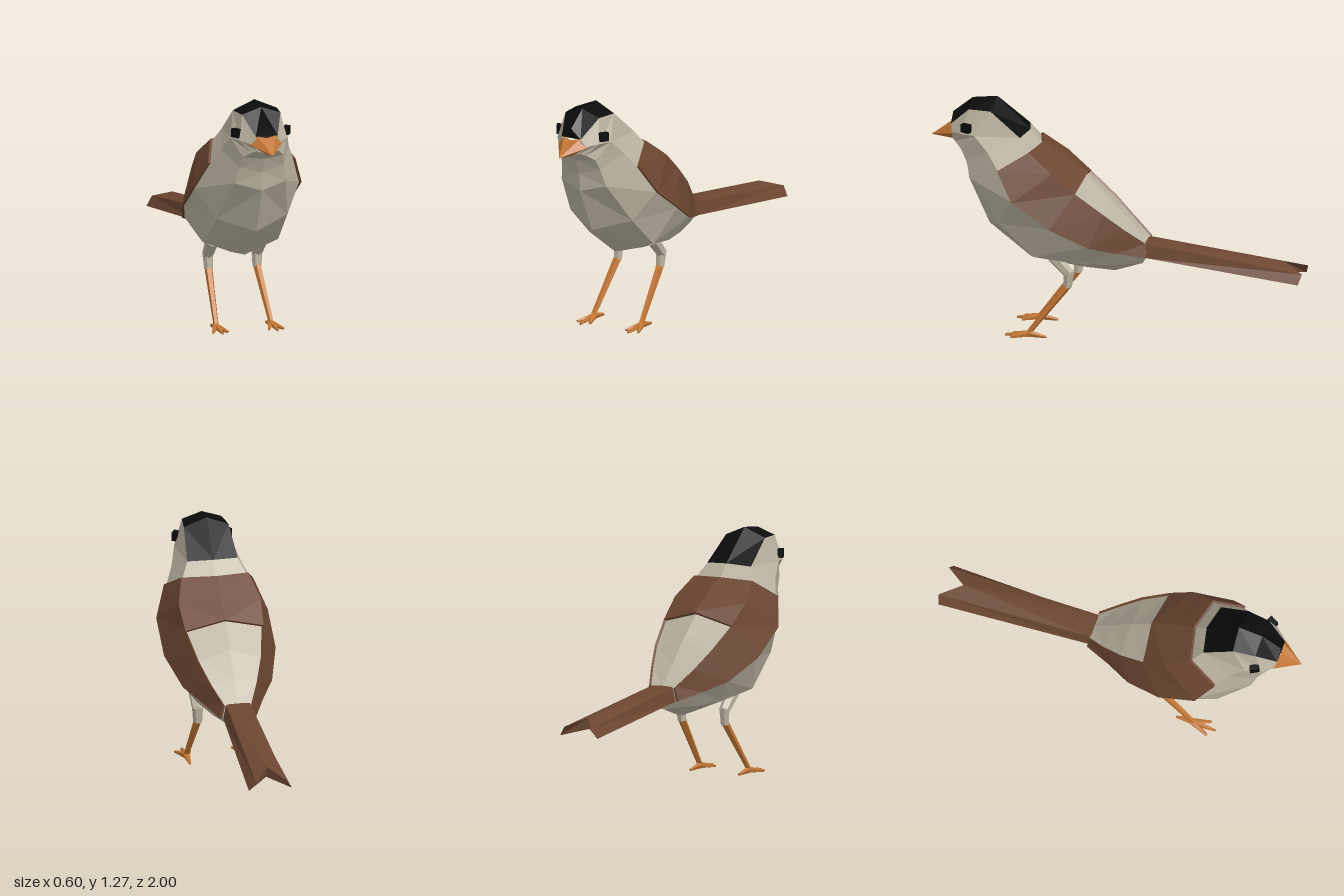
import * as THREE from 'three';

const mat = (name, color, side = THREE.FrontSide) => {
  const m = new THREE.MeshStandardMaterial({ color, side });
  m.name = name;
  return m;
};

// Flat-faced mesh from triangles on the +x half, mirrored to the other side
function halfMesh(name, tris, material) {
  const pos = [];
  for (const [a, b, c] of tris) {
    const [va, vb, vc] = [a, b, c].map((p) => new THREE.Vector3(...p));
    if (vb.clone().sub(va).cross(vc.clone().sub(va)).length() < 1e-7) continue;
    pos.push(...a, ...b, ...c);
    for (const p of [a, c, b]) pos.push(-p[0], p[1], p[2]);
  }
  const g = new THREE.BufferGeometry();
  g.setAttribute('position', new THREE.Float32BufferAttribute(pos, 3));
  g.computeVertexNormals();
  const mesh = new THREE.Mesh(g, material);
  mesh.name = name;
  return mesh;
}

// Half loft: rings run back to front, points run top centre to bottom centre
function loft(rings, keep = () => true) {
  const tris = [];
  for (let i = 0; i < rings.length - 1; i++) {
    for (let j = 0; j < rings[i].length - 1; j++) {
      if (!keep(i, j)) continue;
      const a = rings[i][j], b = rings[i + 1][j], c = rings[i + 1][j + 1], d = rings[i][j + 1];
      tris.push([a, b, c], [a, c, d]);
    }
  }
  return tris;
}

// Fan that closes the rear (or, flipped, the front) of a half loft
function fan(ring, front = false) {
  const tris = [];
  for (let j = 1; j < ring.length - 1; j++) {
    tris.push(front ? [ring[0], ring[j + 1], ring[j]] : [ring[0], ring[j], ring[j + 1]]);
  }
  return tris;
}

// Tapered faceted rod between two points
function rod(name, a, b, ra, rb, material, sides = 5) {
  const va = new THREE.Vector3(...a), vb = new THREE.Vector3(...b);
  const dir = vb.clone().sub(va);
  const g = new THREE.CylinderGeometry(rb, ra, dir.length(), sides).toNonIndexed();
  g.computeVertexNormals();
  const mesh = new THREE.Mesh(g, material);
  mesh.name = name;
  mesh.position.copy(va).add(vb).multiplyScalar(0.5);
  mesh.quaternion.setFromUnitVectors(new THREE.Vector3(0, 1, 0), dir.normalize());
  return mesh;
}

export function createModel() {
  const cream = mat('cream feathers', 0xbdb5a2);
  const brown = mat('brown feathers', 0x6c4631, THREE.DoubleSide);
  const black = mat('black', 0x0b0b0c);
  const orange = mat('orange', 0xc27635);
  const bird = new THREE.Group();
  bird.name = 'bird';

  // Body half sections: top, shoulder, side, lower side, keel
  const body = [
    [[0, .53, -.16], [.07, .525, -.16], [.085, .46, -.16], [.06, .42, -.145], [0, .40, -.13]],
    [[0, .635, -.06], [.12, .605, -.06], [.15, .495, -.02], [.10, .41, .01], [0, .35, .02]],
    [[0, .755, .05], [.165, .70, .05], [.225, .54, .115], [.15, .42, .19], [0, .36, .20]],
    [[0, .87, .17], [.20, .815, .195], [.285, .645, .31], [.20, .46, .41], [0, .40, .47]],
    [[0, .95, .29], [.21, .92, .32], [.285, .78, .51], [.195, .63, .60], [0, .57, .69]],
    [[0, 1.03, .41], [.17, 1.02, .45], [.225, .93, .60], [.14, .85, .765], [0, .81, .80]],
    [[0, 1.10, .47], [.135, 1.09, .50], [.185, 1.01, .66], [.12, .94, .79], [0, .91, .81]],
    [[0, 1.27, .65], [.12, 1.22, .66], [.155, 1.09, .74], [.11, 1.0, .82], [0, .99, .84]],
    [[0, 1.255, .78], [.105, 1.22, .78], [.13, 1.09, .82], [.075, 1.03, .86], [0, 1.015, .87]],
    [[0, 1.17, .885], [.06, 1.12, .885], [.085, 1.08, .875], [.05, 1.04, .88], [0, 1.025, .88]],
  ];
  const isCap = (i, j) => i >= 6 && j === 0;
  const isWing = (i, j) => (j === 1 && i < 5) || (j === 0 && (i === 3 || i === 4));
  const face = body[9];
  bird.add(halfMesh('body',
    [...loft(body, (i, j) => !isCap(i, j)), ...fan(body[0]), ...fan(face.slice(1), true)], cream));

  // Crown running down to the beak
  const brow = [0, face[1][1], face[1][2]];
  bird.add(halfMesh('crown', [...loft(body, isCap), [face[0], brow, face[1]]], black));

  // Wings and mantle: a thin raised shell with a rim
  const raised = body.map((ring) => {
    const cy = (ring[0][1] + ring[4][1]) / 2, cz = (ring[0][2] + ring[4][2]) / 2;
    return ring.map((p) => {
      const d = new THREE.Vector3(p[0], p[1] - cy, p[2] - cz).setLength(.014);
      return [p[0] + d.x, p[1] + d.y, p[2] + d.z];
    });
  });
  const shell = loft(raised, isWing);
  const rim = [[3, 0], [3, 1], [2, 1], [1, 1], [0, 1], [0, 2], [1, 2], [2, 2], [3, 2], [4, 2], [5, 2], [5, 1], [5, 0]];
  for (let k = 0; k < rim.length - 1; k++) {
    const [i, j] = rim[k], [m, n] = rim[k + 1];
    shell.push([raised[i][j], body[m][n], body[i][j]], [raised[i][j], raised[m][n], body[m][n]]);
  }
  bird.add(halfMesh('wings', shell, brown));

  // Forked tail
  const tail = [
    [[0, .46, -.89], [.08, .42, -1], [.115, .37, -.985], [0, .40, -.88]],
    [[0, .535, -.14], [.065, .53, -.16], [.08, .455, -.16], [0, .46, -.14]],
  ];
  bird.add(halfMesh('tail', [...loft(tail), ...fan(tail[0]), ...fan(tail[1], true)], brown));

  // Beak
  const tip = [0, 1.037, 1];
  const beak = [
    [[0, 1.11, .89], [.05, 1.12, .88], [.093, 1.077, .865], [0, 1.02, .88]],
    [tip, tip, tip, tip],
  ];
  bird.add(halfMesh('beak', [...loft(beak), ...fan(beak[0])], orange));

  for (const s of [1, -1]) {
    const side = s > 0 ? 'left' : 'right';

    // Eye
    const eye = new THREE.Mesh(new THREE.BoxGeometry(.03, .045, .05), black);
    eye.name = side + 'Eye';
    eye.position.set(s * .138, 1.125, .787);
    eye.rotation.y = -s * .5;
    bird.add(eye);

    // Leg: feathered thigh, bare shank, four toes
    const leg = new THREE.Group();
    leg.name = side + 'Leg';
    const knee = [s * .135, .36, .235], shin = [s * .132, .285, .245], ankle = [s * .15, .025, .45];
    leg.add(rod('thigh', [s * .135, .45, .32], knee, .036, .029, cream, 6));
    leg.add(rod('knee', [s * .135, .375, .235], shin, .03, .024, cream, 6));
    leg.add(rod('shank', [s * .132, .30, .24], ankle, .022, .014, orange));
    for (const [x, z] of [[.112, .54], [.15, .575], [.192, .54], [.15, .355]]) {
      leg.add(rod('toe', [s * .15, .02, .445], [s * x, .007, z], .019, .007, orange));
    }
    bird.add(leg);
  }
  return bird;
}
